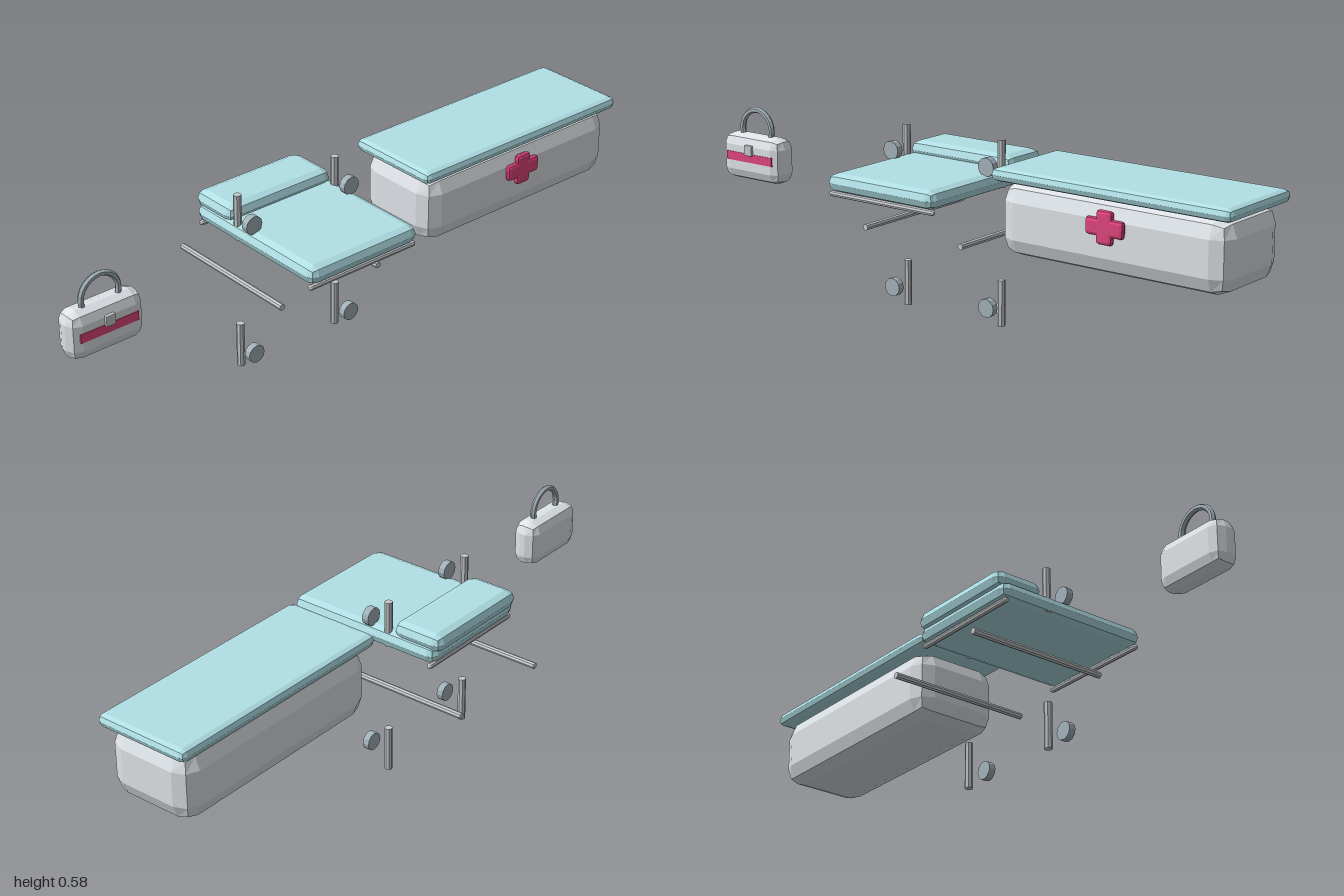
import * as THREE from 'three';
import { RoundedBoxGeometry } from 'three/addons/geometries/RoundedBoxGeometry.js';

const material = (name, color) => {
  const m = new THREE.MeshStandardMaterial({ color, flatShading: true });
  m.name = name;
  return m;
};

export function createModel() {
  const teal = material('teal padding', 0xb0e0e6);
  const shell = material('light grey shell', 0xdfe4e8);
  const steel = material('steel', 0xc6cacd);
  const blueGrey = material('blue grey', 0xa3b2ba);
  const crimson = material('crimson', 0xe0457b);

  const model = new THREE.Group();
  const addGroup = (name) => {
    const g = new THREE.Group();
    g.name = name;
    model.add(g);
    return g;
  };
  const add = (parent, name, geometry, mat, x, y, z) => {
    const mesh = new THREE.Mesh(geometry, mat);
    mesh.name = name;
    mesh.position.set(x, y, z);
    parent.add(mesh);
    return mesh;
  };
  const block = (w, h, d, r) => new RoundedBoxGeometry(w, h, d, 1, r);
  const rod = (r, length, sides = 8) => new THREE.CylinderGeometry(r, r, length, sides);

  // Cabinet with overhanging top and a cross on the front
  const cabinet = addGroup('cabinet');
  add(cabinet, 'cabinetBody', block(0.77, 0.22, 0.295, 0.055), shell, 0.595, 0.41, 0.046);
  add(cabinet, 'cabinetTop', block(0.81, 0.04, 0.32, 0.0195), teal, 0.595, 0.54, 0.0465);
  add(cabinet, 'crossUpright', block(0.054, 0.1, 0.021, 0.01), crimson, 0.593, 0.447, 0.2015);
  add(cabinet, 'crossBar', block(0.128, 0.052, 0.0206, 0.01), crimson, 0.593, 0.447, 0.2015);

  // Stretcher: mattress, pillow and round-ended cross rods
  const cx = -0.14;
  const stretcher = addGroup('stretcher');
  add(stretcher, 'mattress', block(0.408, 0.057, 0.533, 0.028), teal, cx, 0.4565, 0.0465);
  add(stretcher, 'pillow', block(0.392, 0.058, 0.172, 0.0285), teal, cx, 0.493, -0.148);
  for (const z of [0.295, -0.201]) {
    const crossRod = new THREE.CapsuleGeometry(0.009, 0.384, 3, 8);
    add(stretcher, 'crossRod', crossRod, steel, cx, 0.422, z).rotation.z = Math.PI / 2;
  }

  // Rails, posts and discs, mirrored about the stretcher
  for (const side of [-1, 1]) {
    const x = cx + side * 0.1845;
    add(stretcher, 'rail', rod(0.01, 0.471), steel, x, 0.29, -0.078).rotation.x = Math.PI / 2;
    for (const [postY, discY] of [[0.0725, 0.073], [0.5055, 0.508]]) {
      add(stretcher, 'post', rod(0.0125, 0.145), steel, x, postY, -0.041);
      add(stretcher, 'wheel', rod(0.029, 0.022, 12), blueGrey, x, discY, 0.025).rotation.x = Math.PI / 2;
    }
  }

  // Bag with stripe, clasp and arched handle
  const bag = addGroup('bag');
  const bx = -0.875;
  add(bag, 'bagBody', block(0.248, 0.15, 0.088, 0.035), shell, bx, 0.411, 0.0435);
  add(bag, 'bagStripe', new THREE.BoxGeometry(0.194, 0.028, 0.008), crimson, bx, 0.414, 0.0855);
  add(bag, 'bagClasp', block(0.032, 0.034, 0.026, 0.003), steel, bx, 0.439, 0.083);
  const arc = Math.PI * 1.35;
  const handle = add(bag, 'bagHandle', new THREE.TorusGeometry(0.063, 0.0095, 6, 16, arc), blueGrey, bx, 0.502, 0.0465);
  handle.rotation.z = (Math.PI - arc) / 2;

  return model;
}
